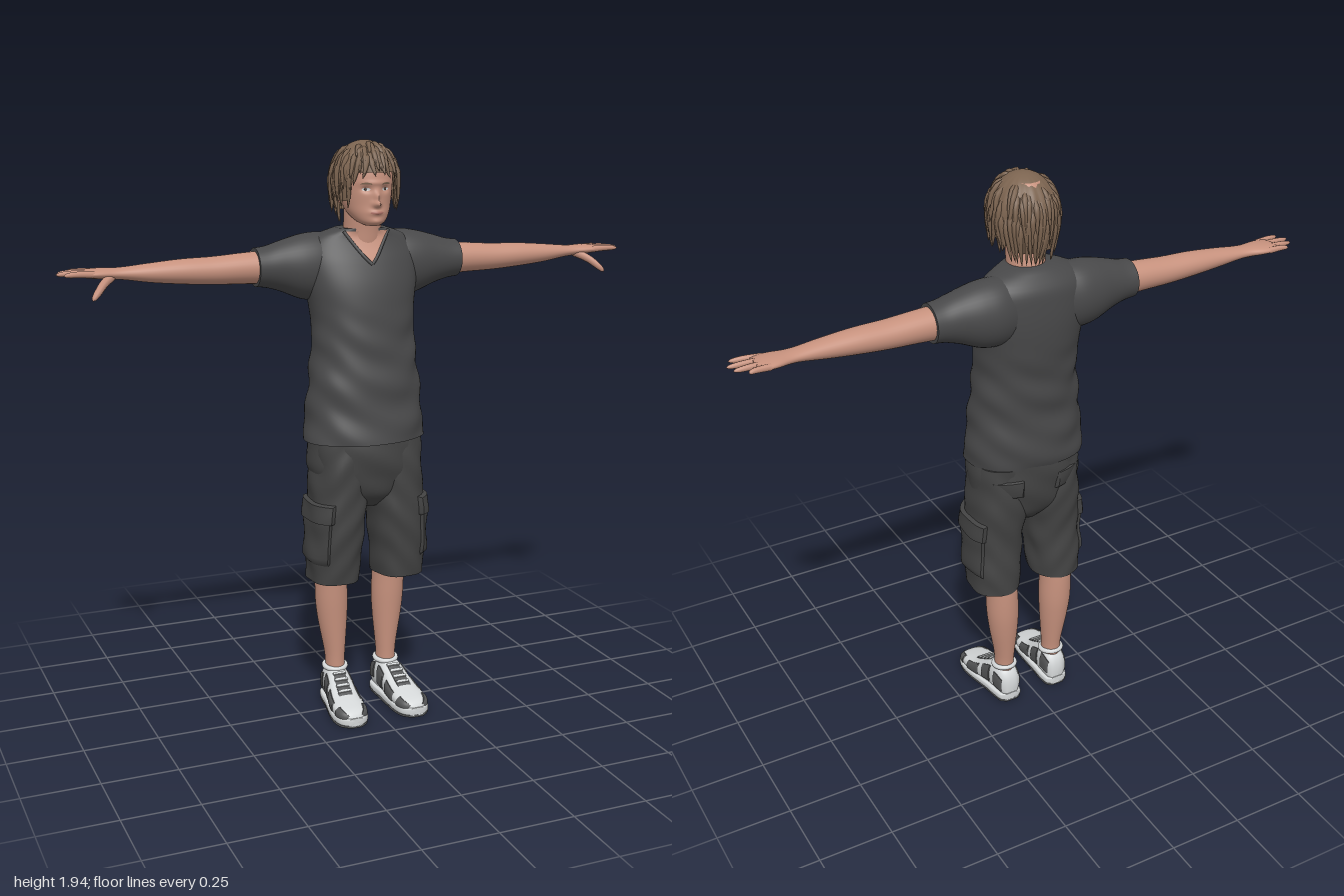
import * as THREE from 'three';
import { mergeVertices, toCreasedNormals } from 'three/addons/utils/BufferGeometryUtils.js';

const mat = (name, color, side = THREE.FrontSide) => {
  const m = new THREE.MeshStandardMaterial({ color, side });
  m.name = name;
  return m;
};
const { lerp, smoothstep } = THREE.MathUtils;
const V = (x, y, z) => new THREE.Vector3(x, y, z);
const spow = (v, e) => Math.sign(v) * Math.abs(v) ** (2 / e);

// Section at height y: rows are [y, centreX, centreZ, radiusX, radiusZ], smoothly interpolated
function at(rows, y) {
  const n = rows.length - 1;
  const cat = (t) => {
    const i = Math.min(n - 1, Math.floor(t)), f = t - i;
    const [a, b, c, d] = [rows[Math.max(0, i - 1)], rows[i], rows[i + 1], rows[Math.min(n, i + 2)]];
    return b.map((p, k) => p + 0.5 * f * (c[k] - a[k] + f * (2 * a[k] - 5 * p + 4 * c[k] - d[k] + f * (3 * (p - c[k]) + d[k] - a[k]))));
  };
  let lo = 0, hi = n;
  for (let i = 0; i < 24; i++) {
    const mid = (lo + hi) / 2;
    if (cat(mid)[0] < y) lo = mid; else hi = mid;
  }
  return cat((lo + hi) / 2);
}

// Point on the section outline; angle 0 faces +z, a quarter turn faces +x
function ringPoint(rows, y, a, grow = 0, e = 2) {
  const [, cx, cz, rx, rz] = at(rows, y);
  return V(cx + (rx + grow) * spow(Math.sin(a), e), y, cz + (rz + grow) * spow(Math.cos(a), e));
}

function surface(fn, nu, nv) {
  const pos = [], index = [];
  for (let j = 0; j <= nv; j++) for (let i = 0; i <= nu; i++) pos.push(...fn(i / nu, j / nv).toArray());
  for (let j = 0; j < nv; j++) for (let i = 0; i < nu; i++) {
    const a = j * (nu + 1) + i, b = a + nu + 1;
    index.push(a, a + 1, b, a + 1, b + 1, b);
  }
  const g = new THREE.BufferGeometry();
  g.setAttribute('position', new THREE.Float32BufferAttribute(pos, 3));
  g.setIndex(index);
  return g;
}

// Closed body through the sections, with flat ends
function loft(rows, { seg = 40, steps = 30, e = 2, grow = () => 0, warp = (p) => p } = {}) {
  const y0 = rows[0][0], y1 = rows[rows.length - 1][0];
  return surface((u, v) => {
    const j = Math.round(v * (steps + 2)), a = u * Math.PI * 2;
    const y = lerp(y0, y1, Math.min(steps, Math.max(0, j - 1)) / steps);
    if (j === 0 || j === steps + 2) { const r = at(rows, y); return V(r[1], y, r[2]); }
    return warp(ringPoint(rows, y, a, grow(y, a), e));
  }, seg, steps + 2);
}

// Raised panel lying on a loft between two heights and two angles
function panel(rows, y0, y1, a0, a1, thick, { e = 2, grow = () => 0 } = {}) {
  return surface((u, v) => {
    const y = lerp(y0, y1, v), a = lerp(a0, a1, u), edge = u === 0 || u === 1 || v === 0 || v === 1;
    return ringPoint(rows, y, a, grow(y, a) + (edge ? -0.004 : thick), e);
  }, 18, 12);
}

// Tube through points whose radius follows a profile
function taper(points, r, profile, n = 10, seg = 8) {
  const curve = new THREE.CatmullRomCurve3(points), g = new THREE.TubeGeometry(curve, n, r, seg);
  const p = g.attributes.position, q = V();
  for (let i = 0; i <= n; i++) {
    const c = curve.getPointAt(i / n);
    for (let j = 0; j <= seg; j++) {
      const k = i * (seg + 1) + j;
      q.fromBufferAttribute(p, k).sub(c).multiplyScalar(profile(i / n)).add(c);
      p.setXYZ(k, q.x, q.y, q.z);
    }
  }
  return g;
}

// Weld, mirror to the other side if asked, and keep only sharp edges creased
function add(group, name, geo, material, side = 1, crease = 0.9) {
  geo.deleteAttribute('uv');
  geo.deleteAttribute('normal');
  if (side < 0) { geo.scale(-1, 1, 1); geo.index.array.reverse(); }
  const g = toCreasedNormals(mergeVertices(geo, 1e-5).scale(100, 100, 100), crease).scale(0.01, 0.01, 0.01);
  const mesh = new THREE.Mesh(g, material);
  mesh.name = name;
  group.add(mesh);
  return mesh;
}

export function createModel() {
  const root = new THREE.Group();
  root.name = 'person';
  const skin = mat('skin', 0xc6917d), shirt = mat('shirt cloth', 0x484849), shorts = mat('shorts cloth', 0x434343);
  const hair = mat('hair', 0x7c6450, THREE.DoubleSide), white = mat('shoe white', 0xd5d8d9), dark = mat('shoe grey', 0x555657);
  const lip = mat('lips', 0xb07468), eye = mat('eyes', 0x4a3a32);
  let seed = 7;
  const rnd = () => (seed = (seed * 16807) % 2147483647) / 2147483647;

  // Shirt body with soft folds
  const torso = [[0.965, -0.008, -0.005, 0.207, 0.148], [1.0, -0.008, -0.01, 0.205, 0.149], [1.1, -0.005, -0.015, 0.195, 0.14],
    [1.2, -0.003, -0.021, 0.184, 0.136], [1.3, 0, -0.032, 0.174, 0.133], [1.4, 0, -0.044, 0.178, 0.134], [1.48, 0, -0.055, 0.192, 0.128],
    [1.55, 0, -0.067, 0.197, 0.113], [1.6, 0, -0.076, 0.185, 0.096], [1.635, 0, -0.07, 0.15, 0.078], [1.658, 0, -0.055, 0.085, 0.07]];
  const fold = (y, a) => 0.005 * (1 - smoothstep(y, 1.25, 1.45)) * Math.sin(y * 46 + 2 * Math.sin(a * 2 + 1)) * Math.sin(a * 3 + y * 9);
  add(root, 'shirt body', loft(torso, { seg: 64, steps: 60, e: 2.2, grow: fold }), shirt);
  // Open neckline
  const neckEdge = (u, v, lift) => {
    const y = lerp(1.545, 1.65, v), x = u * 0.078 * v ** 0.85, [, , cz, rx, rz] = at(torso, y);
    return V(x, y, cz + rz * (1 - Math.abs(x / rx) ** 2.2) ** (1 / 2.2) + lift);
  };
  add(root, 'neckline skin', surface((u, v) => neckEdge(u * 2 - 1, v, 0.004), 16, 16), skin);
  for (const s of [1, -1]) {
    const line = new THREE.CatmullRomCurve3([0, 0.2, 0.4, 0.6, 0.8, 1].map((v) => neckEdge(s, v, 0.002)));
    add(root, 'neckline trim', new THREE.TubeGeometry(line, 20, 0.0055, 8), shirt);
  }

  // Neck
  add(root, 'neck', loft([[1.5, 0, -0.06, 0.07, 0.068], [1.6, 0, -0.05, 0.068, 0.068], [1.65, 0, -0.04, 0.063, 0.062],
    [1.7, 0, -0.032, 0.063, 0.06], [1.75, 0, -0.03, 0.063, 0.06]]), skin);

  // Head with sculpted face
  const headRows = [[1.672, 0, 0.045, 0.025, 0.03], [1.685, 0, 0.033, 0.047, 0.052], [1.71, 0, 0.01, 0.066, 0.078], [1.74, 0, -0.005, 0.077, 0.091],
    [1.78, 0, -0.012, 0.084, 0.099], [1.83, 0, -0.018, 0.088, 0.104], [1.88, 0, -0.022, 0.08, 0.093], [1.92, 0, -0.025, 0.05, 0.06]];
  const bumps = [[0, 1.741, 0.026, 0.012, 0.01], [0, 1.763, 0.016, 0.009, 0.018], [0.033, 1.788, -0.009, 0.014, 0.01], [-0.033, 1.788, -0.009, 0.014, 0.01],
    [0, 1.714, 0.008, 0.02, 0.008], [0, 1.685, 0.006, 0.018, 0.01], [0, 1.808, 0.004, 0.045, 0.008]];
  const sculpt = (p) => {
    if (p.z > 0.02) for (const [x, y, h, sx, sy] of bumps) p.z += h * Math.exp(-(((p.x - x) / sx) ** 2) - ((p.y - y) / sy) ** 2);
    return p;
  };
  add(root, 'head', loft(headRows, { seg: 96, steps: 64, warp: sculpt }), skin, 1, 1.2);
  const face = (x, y, lift) => {
    const [, , cz, rx, rz] = at(headRows, y);
    const p = sculpt(V(x, y, cz + rz * Math.sqrt(1 - (x / rx) ** 2)));
    p.z += lift;
    return p;
  };
  // Thin face details following the skin: centre, half width, half height, arch
  const mark = (name, cx, cy, w, h, arch, m) => add(root, name, surface((u, v) => {
    const k = u * 2 - 1;
    return face(cx + k * w, cy + arch * (1 - k * k) + (v * 2 - 1) * h * Math.sqrt(1 - k * k), 0.0015);
  }, 12, 6), m);
  mark('lips', 0, 1.714, 0.023, 0.0055, 0, lip);
  for (const s of [1, -1]) {
    mark('eye white', s * 0.033, 1.788, 0.013, 0.005, 0, white);
    const iris = new THREE.Mesh(new THREE.SphereGeometry(0.0052, 12, 8), eye);
    iris.name = 'iris';
    iris.scale.z = 0.4;
    iris.position.copy(face(s * 0.033, 1.788, 0.0015));
    root.add(iris);
    mark('eyebrow', s * 0.034, 1.804, 0.018, 0.003, 0.003, hair);
    const ear = new THREE.Mesh(new THREE.SphereGeometry(0.026, 14, 10), skin);
    ear.name = 'ear';
    ear.scale.set(0.35, 1, 0.6);
    ear.position.set(s * 0.086, 1.765, -0.015);
    root.add(ear);
  }

  // Hair cap, short over the forehead and longer at the sides and nape
  const hairPoint = (a, s, grow = 0) => {
    const b = Math.abs(Math.atan2(Math.sin(a), Math.cos(a)));
    const end = 1.33 + 0.7 * smoothstep(b, 0.6, 1.0) + 0.3 * smoothstep(b, 1.6, 2.6), phi = s * end, low = Math.max(0, phi - Math.PI / 2);
    const r = low ? Math.cos(low * 0.6) : Math.sin(phi), y = low ? -low : Math.cos(phi);
    const k = 1 + 0.018 * Math.sin(a * 19 + 3 * s) * Math.min(1, s * 2);
    return V((0.109 * k + grow) * r * Math.sin(a), 1.81 + y * (0.13 + grow), -0.02 + (0.116 * k + grow) * r * Math.cos(a));
  };
  add(root, 'hair cap', surface((u, v) => hairPoint(u * Math.PI * 2, 1 - v), 96, 26), hair);
  // Loose locks in layers
  const locks = new THREE.Group();
  locks.name = 'hair locks';
  root.add(locks);
  for (let i = 0; i < 100; i++) {
    const a = i * 2.39996, s0 = 0.2 + 0.5 * rnd(), s1 = Math.min(1.12, s0 + 0.35 + 0.35 * rnd()), da = (rnd() - 0.5) * 0.35;
    const pts = [0, 0.35, 0.7, 1].map((t) => hairPoint(a + da * t * t, lerp(s0, s1, t), [-0.006, 0, 0.001, 0.007][Math.round(t * 3)]));
    add(locks, 'lock', taper(pts, 0.012, (t) => Math.min(1, 0.3 + t * 3) * (1 - t) ** 0.55, 8, 6), hair, 1, 1.3);
  }

  // Shorts seat
  const clothFold = (y, a) => 0.004 * Math.sin(y * 40 + 2 * Math.sin(a * 2)) * Math.sin(a * 3 + y * 12);
  const hips = [[0.73, -0.003, -0.015, 0.05, 0.06], [0.78, -0.003, -0.012, 0.15, 0.105], [0.85, -0.003, -0.016, 0.19, 0.125],
    [0.92, -0.003, -0.018, 0.197, 0.134], [1.0, -0.003, -0.018, 0.19, 0.128]];
  add(root, 'shorts seat', loft(hips, { seg: 56, e: 2.2, grow: clothFold }), shorts);

  for (const s of [1, -1]) {
    const limb = new THREE.Group();
    limb.name = s > 0 ? 'left side' : 'right side';
    root.add(limb);
    const put = (name, geo, m, crease) => add(limb, name, geo, m, s, crease);

    // Sleeve, arm and hand run outward along x: [x, height, z, half height, half depth]
    const along = (rows) => rows.map(([x, y, z, h, d]) => [x, -y, z, h, d]);
    put('sleeve', loft(along([[0.07, 1.53, -0.085, 0.108, 0.075], [0.14, 1.532, -0.087, 0.112, 0.09], [0.2, 1.533, -0.085, 0.106, 0.088],
      [0.27, 1.538, -0.082, 0.083, 0.074], [0.32, 1.538, -0.08, 0.068, 0.067], [0.358, 1.538, -0.08, 0.063, 0.065]])).rotateZ(-Math.PI / 2), shirt);
    put('arm', loft(along([[0.3, 1.538, -0.08, 0.055, 0.056], [0.4, 1.537, -0.08, 0.05, 0.053], [0.5, 1.535, -0.08, 0.045, 0.05], [0.6, 1.537, -0.08, 0.04, 0.047],
      [0.7, 1.538, -0.081, 0.031, 0.04], [0.78, 1.54, -0.085, 0.021, 0.034], [0.82, 1.541, -0.088, 0.018, 0.036], [0.86, 1.543, -0.092, 0.017, 0.046],
      [0.9, 1.544, -0.094, 0.014, 0.05], [0.922, 1.545, -0.095, 0.009, 0.044]]), { steps: 50, seg: 32 }).rotateZ(-Math.PI / 2), skin);
    const finger = (t) => (1 - 0.25 * t) * Math.sqrt(Math.max(0, 1 - t ** 7));
    for (const [z0, x1, z1] of [[-0.056, 0.982, -0.045], [-0.082, 1.0, -0.08], [-0.108, 0.99, -0.112], [-0.132, 0.955, -0.145]])
      put('finger', taper([V(0.885, 1.544, z0), V(0.935, 1.547, lerp(z0, z1, 0.5)), V(x1, 1.546, z1)], 0.0115, finger, 14), skin, 1.3);
    put('thumb', taper([V(0.825, 1.535, -0.075), V(0.86, 1.515, -0.04), V(0.885, 1.492, -0.015), V(0.906, 1.47, 0)], 0.015, finger, 14), skin, 1.3);

    // Shorts leg with cargo pocket, plus a back pocket
    const legRows = [[0.475, 0.117, -0.022, 0.085, 0.102], [0.55, 0.117, -0.014, 0.089, 0.107], [0.65, 0.112, -0.01, 0.092, 0.11],
      [0.75, 0.103, -0.011, 0.096, 0.116], [0.85, 0.1, -0.015, 0.094, 0.12], [0.97, 0.096, -0.018, 0.09, 0.115]];
    const cloth = { e: 2.3, grow: clothFold };
    put('shorts leg', loft(legRows, { seg: 48, steps: 40, ...cloth }), shorts);
    put('cargo pocket', panel(legRows, 0.54, 0.72, 0.5, 2.3, 0.009, cloth), shorts);
    put('pocket flap', panel(legRows, 0.69, 0.76, 0.42, 2.35, 0.014, cloth), shorts);
    put('back pocket flap', panel(hips, 0.86, 0.93, 2.2, 2.85, 0.007, { e: 2.2, grow: clothFold }), shorts);

    // Lower leg
    put('lower leg', loft([[0.07, 0.095, -0.057, 0.033, 0.038], [0.15, 0.096, -0.058, 0.033, 0.038], [0.2, 0.097, -0.06, 0.037, 0.042],
      [0.3, 0.102, -0.064, 0.05, 0.052], [0.38, 0.105, -0.065, 0.056, 0.058], [0.48, 0.108, -0.062, 0.055, 0.06], [0.56, 0.11, -0.05, 0.06, 0.062]]), skin);

    // Shoe runs forward along z: [z, x, top, half width]
    const outline = [[-0.112, 0.094, 0.085, 0.02], [-0.1, 0.095, 0.118, 0.037], [-0.06, 0.097, 0.138, 0.044], [-0.02, 0.1, 0.132, 0.046], [0.02, 0.104, 0.108, 0.05],
      [0.07, 0.109, 0.08, 0.055], [0.12, 0.112, 0.066, 0.056], [0.16, 0.113, 0.054, 0.046], [0.182, 0.113, 0.038, 0.02]];
    const upper = outline.map(([z, x, top, w]) => [z, x, -(top + 0.015) / 2, w, (top - 0.015) / 2]);
    const slab = (y0, y1, extra) => outline.map(([z, x, , w]) => [z * 1.015, x, -(y0 + y1) / 2, w + extra, (y1 - y0) / 2]);
    const turn = (g) => g.rotateX(Math.PI / 2), se = { e: 2.5 };
    put('shoe upper', turn(loft(upper, se)), white);
    put('shoe midsole', turn(loft(slab(0.006, 0.034, 0.004), { e: 5 })), white);
    put('shoe outsole', turn(loft(slab(0, 0.01, 0.003), { e: 6 })), dark);
    put('toe guard', turn(panel(upper, 0.125, 0.178, 1.0, 2.5, 0.003, se)), dark);
    put('toe guard', turn(panel(upper, 0.125, 0.178, 3.8, 5.28, 0.003, se)), dark);
    for (const a of [1.15, 4.03]) {
      put('side panel', turn(panel(upper, 0.03, 0.1, a, a + 1.1, 0.003, se)), dark);
      put('side stripe', turn(panel(upper, -0.035, 0.015, a, a + 1.1, 0.003, se)), dark);
      put('heel panel', turn(panel(upper, -0.104, -0.055, a, a + 0.9, 0.003, se)), dark);
    }
    put('tongue', turn(panel(upper, -0.012, 0.085, 2.75, 3.53, 0.003, se)), dark);
    for (let i = 0; i < 4; i++) {
      const z = 0.0 + i * 0.022, [, x, cy, , h] = at(upper, z);
      put('lace', new THREE.BoxGeometry(0.046, 0.007, 0.009).rotateX(0.5).translate(x, h - cy + 0.003, z), white);
    }
    put('shoe collar', new THREE.TorusGeometry(0.037, 0.009, 10, 28).rotateX(Math.PI / 2 + 0.1).translate(0.096, 0.134, -0.058), white);
  }
  return root;
}
